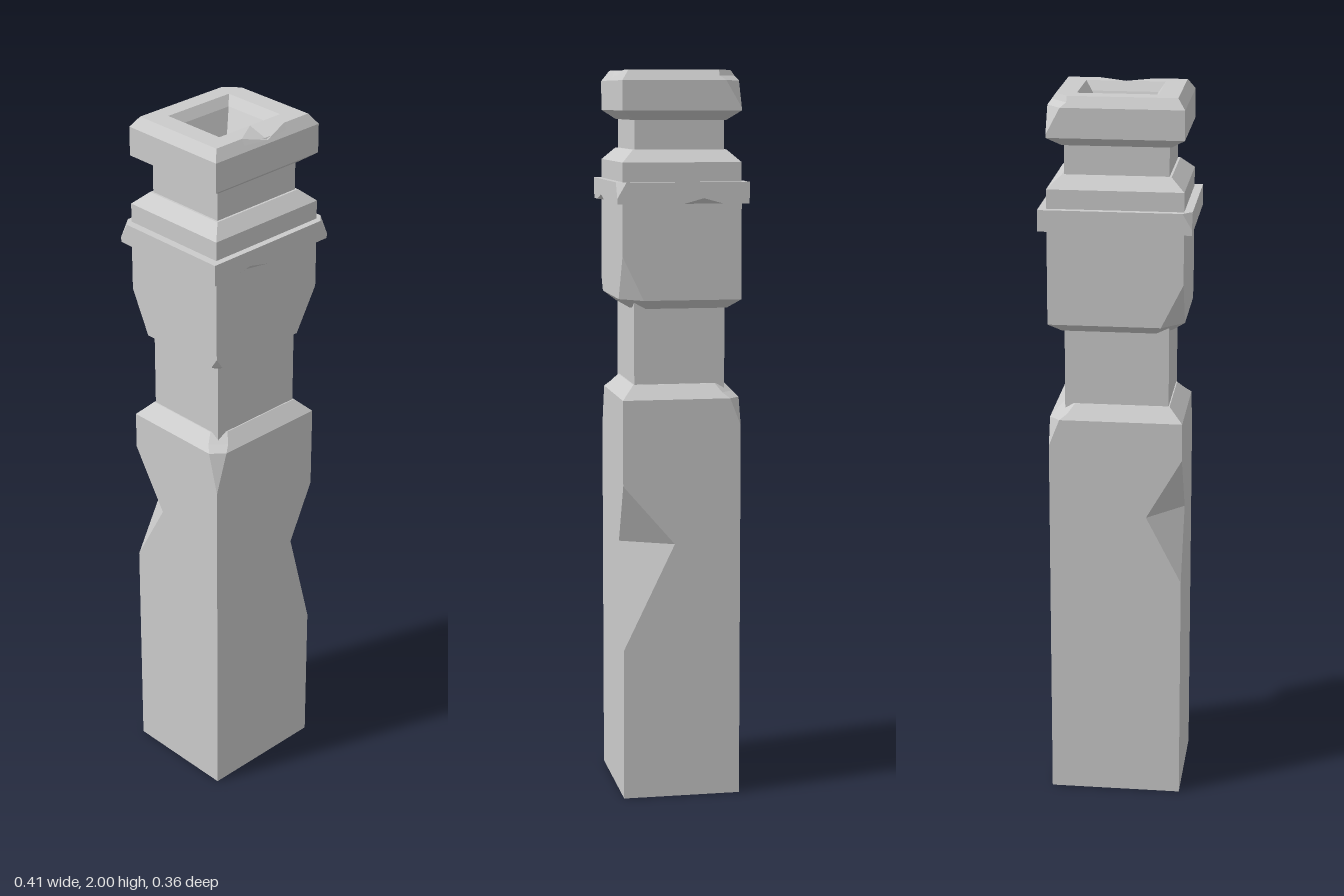
import * as THREE from 'three';

const material = new THREE.MeshStandardMaterial({ color: 0xcccccc, flatShading: true });
const clamp = THREE.MathUtils.clamp;

// How much a chip bites at height y: zero at both ends, full at the peak.
function tent(y, [y0, peak, y1]) {
  if (y <= y0 || y >= y1) return 0;
  return y < peak ? (y - y0) / (peak - y0) : (y1 - y) / (y1 - peak);
}

// Rectangle of half sizes w, d with chipped corners and a dentable point on the front and +x sides.
function ring([y, w, d, opt = {}], chips, sides) {
  const cuts = { FL: [0, 0], FR: [0, 0], BR: [0, 0], BL: [0, 0] };
  if (!opt.plain && w > 0) {
    for (const c of chips) {
      const t = tent(y, c.ys);
      cuts[c.corner] = [cuts[c.corner][0] + c.cx * t, cuts[c.corner][1] + c.cz * t];
    }
  }
  const { FL, FR, BR, BL } = cuts;
  const { front = [0, 0.01], right = [0, 0.01] } = sides;
  const [fi, fDrop] = opt.front ?? [0, 0];
  const [ri, rDrop] = opt.right ?? [0, 0];
  const fx = k => clamp(front[0] + k * front[1], -0.75 * w, 0.75 * w);
  const rz = k => clamp(right[0] - k * right[1], -0.75 * d, 0.75 * d);
  return [
    [-w, y, d - FL[1]], [-w + FL[0], y, d],
    [fx(-1), y, d], [fx(0), y - fDrop, d - fi], [fx(1), y, d],
    [w - FR[0], y, d], [w, y, d - FR[1]],
    [w, y, rz(-1)], [w - ri, y - rDrop, rz(0)], [w, y, rz(1)],
    [w, y, -d + BR[1]], [w - BR[0], y, -d],
    [-w + BL[0], y, -d], [-w, y, -d + BL[1]],
  ].map(p => new THREE.Vector3(...p));
}

// Stacks rings along a profile of [y, halfWidth, halfDepth, options], adding rings where chips bend.
function loft(name, profile, chips = [], sides = {}) {
  const rows = [profile[0]];
  for (let i = 1; i < profile.length; i++) {
    const a = profile[i - 1], b = profile[i];
    const ys = chips.flatMap(c => c.ys).filter(y => y > a[0] + 1e-4 && y < b[0] - 1e-4);
    for (const y of [...new Set(ys)].sort((p, q) => p - q)) {
      const t = (y - a[0]) / (b[0] - a[0]);
      rows.push([y, a[1] + (b[1] - a[1]) * t, a[2] + (b[2] - a[2]) * t]);
    }
    rows.push(b);
  }
  const rings = rows.map(r => ring(r, chips, sides));
  const pos = [];
  const tri = (...v) => {
    if (new THREE.Triangle(...v).getArea() > 1e-8) v.forEach(p => pos.push(p.x, p.y, p.z));
  };
  for (let i = 1; i < rings.length; i++) {
    const lo = rings[i - 1], hi = rings[i], n = lo.length;
    for (let j = 0; j < n; j++) {
      const k = (j + 1) % n, a = lo[j], b = lo[k], c = hi[k], d = hi[j];
      if (a.distanceTo(c) < b.distanceTo(d)) { tri(a, b, c); tri(a, c, d); }
      else { tri(a, b, d); tri(b, c, d); }
    }
  }
  const geometry = new THREE.BufferGeometry();
  geometry.setAttribute('position', new THREE.Float32BufferAttribute(pos, 3));
  geometry.computeVertexNormals();
  const mesh = new THREE.Mesh(geometry, material);
  mesh.name = name;
  return mesh;
}

const chip = (corner, ys, cx, cz) => ({ corner, ys, cx, cz });

export function createModel() {
  const post = new THREE.Group();
  post.name = 'stonePost';

  // Tall shaft with two gouged edges and worn upper corners
  post.add(loft('shaft', [
    [0, 0, 0], [0, 0.183, 0.163], [1.115, 0.183, 0.163], [1.153, 0.145, 0.128], [1.153, 0, 0],
  ], [
    chip('FR', [0.42, 0.715, 0.88], 0.077, 0.143),
    chip('BL', [0.65, 0.84, 1.01], 0.098, 0.105),
    chip('FL', [1.0, 1.13, 1.3], 0.04, 0.035),
    chip('BR', [1.04, 1.13, 1.3], 0.035, 0.035),
  ]));

  // Recessed necks
  post.add(loft('lowerNeck', [[1.1, 0.142, 0.125], [1.4, 0.142, 0.125]]));
  post.add(loft('upperNeck', [[1.75, 0.14, 0.122], [1.89, 0.14, 0.122]]));

  // Block with two broken lower corners
  post.add(loft('block', [
    [1.36, 0, 0], [1.36, 0.148, 0.13], [1.385, 0.183, 0.163], [1.66, 0.183, 0.163],
  ], [
    chip('FR', [1.3, 1.385, 1.505], 0.068, 0.058),
    chip('BL', [1.3, 1.385, 1.505], 0.06, 0.058),
    chip('FL', [1.34, 1.385, 1.415], 0.02, 0.02),
  ]));

  // Projecting band, nicked below on two sides and on two upper corners
  post.add(loft('band', [
    [1.645, 0, 0], [1.645, 0.205, 0.18, { front: [0.016, 0], right: [0.018, 0] }],
    [1.675, 0.205, 0.18], [1.703, 0.205, 0.18], [1.703, 0, 0],
  ], [
    chip('FR', [1.66, 1.703, 1.75], 0.025, 0.025),
    chip('BL', [1.66, 1.703, 1.75], 0.025, 0.025),
  ], { front: [-0.08, 0.065], right: [-0.055, 0.055] }));

  // Sloped collar above the band
  post.add(loft('collar', [
    [1.69, 0.183, 0.162], [1.755, 0.183, 0.162], [1.788, 0.146, 0.128], [1.788, 0, 0],
  ]));

  // Cap with a chipped rim and a tapering square hollow
  post.add(loft('cap', [
    [1.867, 0, 0], [1.867, 0.145, 0.128], [1.892, 0.183, 0.162], [1.972, 0.183, 0.162],
    [2, 0.163, 0.142, { front: [-0.017, 0.02] }],
    [2, 0.108, 0.095, { plain: true }], [1.975, 0.09, 0.077, { plain: true }],
    [1.84, 0.025, 0.023, { plain: true }], [1.84, 0, 0],
  ], [chip('BR', [1.9, 1.985, 2.05], 0.045, 0.05)], { front: [0, 0.075] }));

  return post;
}
